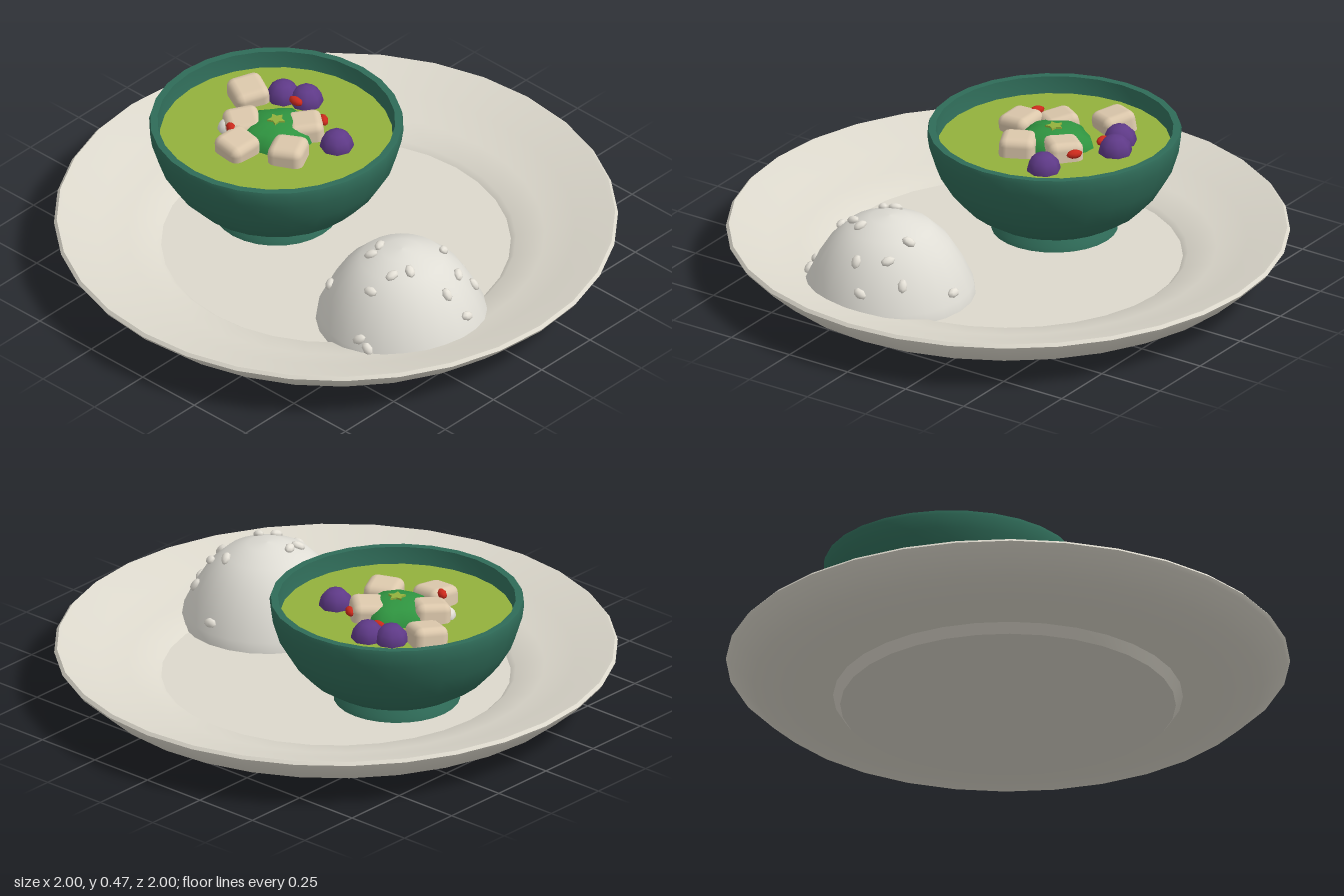
import * as THREE from 'three';
import { toCreasedNormals } from 'three/addons/utils/BufferGeometryUtils.js';
import { RoundedBoxGeometry } from 'three/addons/geometries/RoundedBoxGeometry.js';

const material = (name, color) => Object.assign(new THREE.MeshStandardMaterial({ color }), { name });

// Turned solid with crisp corners and smooth sides
function turned(points, segments, crease = 0.6) {
  const profile = points.map(([r, y]) => new THREE.Vector2(r, y));
  return toCreasedNormals(new THREE.LatheGeometry(profile, segments), crease);
}

export function createModel() {
  const model = new THREE.Group();
  model.name = 'soupAndRicePlate';

  const porcelain = material('porcelain', 0xdcd8cc);
  const rice = material('rice', 0xdfddd5);
  const grain = material('riceGrain', 0xe6e2d8);
  const glaze = material('greenGlaze', 0x2f6b58);
  const broth = material('broth', 0x93b13c);
  const tofuCream = material('tofuCream', 0xdcc8ac);
  const purple = material('purple', 0x5f3a88);
  const leafGreen = material('leafGreen', 0x2f9440);
  const chilliRed = material('chilliRed', 0xcc2a1c);

  function add(parent, name, geometry, mat, x = 0, y = 0, z = 0) {
    const mesh = new THREE.Mesh(geometry, mat);
    mesh.name = name;
    mesh.position.set(x, y, z);
    parent.add(mesh);
    return mesh;
  }

  // Plate: foot, flared underside, thin rim, sloping well and flat floor
  add(model, 'plate', turned([
    [0, 0], [0.595, 0], [0.62, 0.035], [0.76, 0.056], [0.9, 0.08], [0.99, 0.16], [1, 0.175],
    [0.99, 0.186], [0.975, 0.182], [0.85, 0.138], [0.74, 0.105], [0.638, 0.085],
    [0.62, 0.07], [0, 0.07],
  ], 32), porcelain);

  // Bowl with a flared foot
  const bowl = new THREE.Group();
  bowl.name = 'soupBowl';
  bowl.position.x = -0.29;
  model.add(bowl);
  add(bowl, 'bowlShell', turned([
    [0, 0.07], [0.225, 0.07], [0.22, 0.085], [0.2, 0.115], [0.25, 0.13], [0.32, 0.175],
    [0.375, 0.235], [0.42, 0.31], [0.445, 0.39], [0.452, 0.44], [0.448, 0.455], [0.422, 0.455],
    [0.412, 0.38], [0.36, 0.27], [0.24, 0.18], [0, 0.16],
  ], 28), glaze);
  add(bowl, 'soup', new THREE.CircleGeometry(0.416, 28).rotateX(-Math.PI / 2), broth, 0, 0.393, 0);

  // Tofu cubes: x, z, turn
  const tofu = new RoundedBoxGeometry(0.13, 0.12, 0.13, 2, 0.03);
  [[-0.23, -0.1, 0.45], [0.065, -0.08, 0.7], [-0.11, 0.055, 0.6], [0.125, 0.07, 1.1], [-0.035, 0.165, 0.1]]
    .forEach(([x, z, turn], i) => {
      add(bowl, 'tofuCube', tofu, tofuCream, x, 0.397, z).rotation.set(0.1, -turn, i % 2 ? 0.1 : -0.08);
    });

  // Purple berries
  const berry = new THREE.SphereGeometry(0.061, 8, 6);
  [[-0.06, -0.22], [-0.14, -0.185], [0.205, -0.095]].forEach(([x, z]) => {
    add(bowl, 'purpleBerry', berry, purple, x, 0.4, z);
  });

  // Scalloped green garnish with a star-shaped centre
  const crown = new THREE.LatheGeometry(
    [[0.135, 0.39], [0.125, 0.422], [0.09, 0.445], [0.045, 0.456], [0, 0.458]]
      .map(([r, y]) => new THREE.Vector2(r, y)), 20);
  const position = crown.attributes.position;
  for (let i = 0; i < position.count; i++) {
    const x = position.getX(i), z = position.getZ(i);
    const lobe = 1 - 0.08 * Math.cos(5 * Math.atan2(z, x)) * Math.hypot(x, z) / 0.135;
    position.setX(i, x * lobe);
    position.setZ(i, z * lobe);
  }
  // the profile runs inward and upward, so its faces already point out
  crown.computeVertexNormals();
  add(bowl, 'greenGarnish', crown, leafGreen);

  const star = new THREE.Shape();
  for (let i = 0; i < 10; i++) {
    const a = Math.PI / 2 + i * Math.PI / 5, r = i % 2 ? 0.018 : 0.033;
    star[i ? 'lineTo' : 'moveTo'](r * Math.cos(a), r * Math.sin(a));
  }
  add(bowl, 'garnishStar', new THREE.ExtrudeGeometry(star, { depth: 0.008, bevelEnabled: false })
    .rotateX(-Math.PI / 2), broth, 0, 0.456, 0);

  // Chilli flakes and an onion piece: x, z, turn
  const flake = new THREE.SphereGeometry(1, 8, 6).scale(0.03, 0.016, 0.017);
  [[0.09, -0.148, -0.6], [-0.06, -0.165, 0], [-0.09, 0.138, -0.5]].forEach(([x, z, turn], i) => {
    add(bowl, 'chilliFlake', flake, chilliRed, x, i === 2 ? 0.45 : 0.425, z).rotation.y = turn;
  });
  add(bowl, 'onionPiece', new THREE.SphereGeometry(0.035, 8, 6), grain, -0.15, 0.4, 0.095);

  // Rice mound
  const mound = new THREE.Group();
  mound.name = 'riceMound';
  mound.position.set(0.485, 0, 0.175);
  model.add(mound);
  const dome = [[0.306, 0.072], [0.3, 0.11], [0.262, 0.19], [0.215, 0.265], [0.15, 0.327], [0.07, 0.36], [0, 0.367]];
  add(mound, 'riceDome', new THREE.LatheGeometry(dome.map(([r, y]) => new THREE.Vector2(r, y)), 24), rice);

  // Surface height and outward slope of the mound at a radius
  function surface(r) {
    const i = Math.max(1, dome.findIndex(([d]) => d <= r));
    const [r0, y0] = dome[i - 1], [r1, y1] = dome[i];
    return { y: y0 + (y1 - y0) * (r0 - r) / (r0 - r1), nr: y1 - y0, ny: r0 - r1 };
  }

  // Loose grains lying on the mound
  const grainShape = new THREE.SphereGeometry(1, 7, 5).scale(0.027, 0.015, 0.018);
  const up = new THREE.Vector3(0, 1, 0);
  [[0.5, -0.11], [0.56, 0.04], [0.665, -0.005], [0.655, 0.065], [0.75, 0.12], [0.7, 0.17], [0.405, 0.205],
    [0.41, 0.255], [0.58, 0.235], [0.545, 0.29], [0.51, 0.365], [0.29, 0.34], [0.54, 0.455], [0.58, 0.455]]
    .forEach(([px, pz], i) => {
      const x = px - 0.485, z = pz - 0.175, r = Math.min(0.304, Math.hypot(x, z));
      const { y, nr, ny } = surface(r);
      const normal = new THREE.Vector3(nr * x / r, ny, nr * z / r).normalize();
      const mesh = add(mound, 'riceGrain', grainShape, grain, x, y + 0.004, z);
      mesh.quaternion.setFromUnitVectors(up, normal);
      mesh.rotateY(i * 1.9);
    });

  return model;
}
